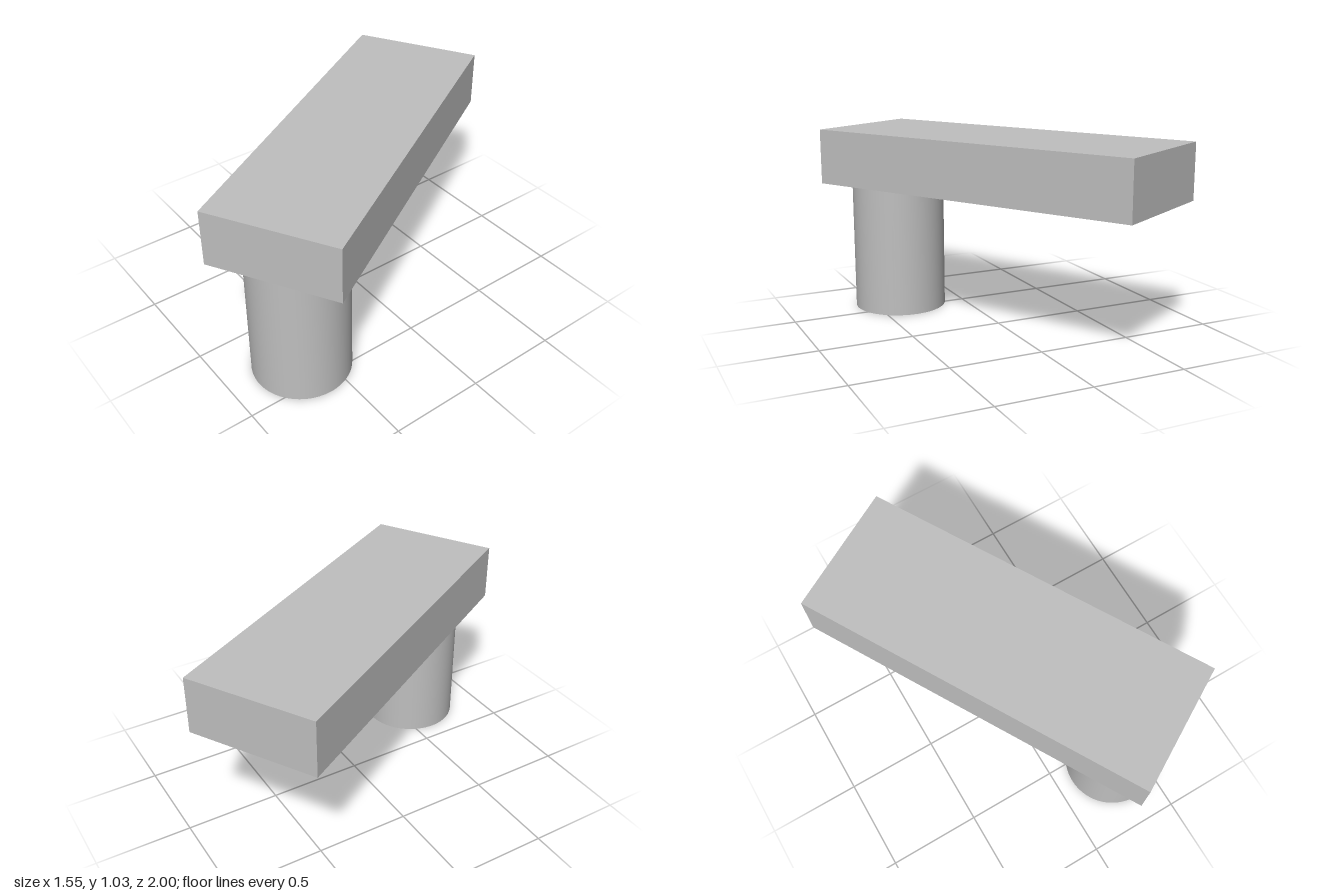
import * as THREE from 'three';

export function createModel() {
  const group = new THREE.Group();
  const grey = new THREE.MeshStandardMaterial({ color: 0xbfbfbf });
  grey.name = 'grey';

  const postHeight = 0.733;
  const beamHeight = 0.3;

  // Whole assembly is turned 30 degrees about the vertical axis
  group.rotation.y = Math.PI / 6;

  // Long rectangular beam on top
  const beam = new THREE.Mesh(new THREE.BoxGeometry(0.69, beamHeight, 1.909), grey);
  beam.name = 'beam';
  beam.position.y = postHeight + beamHeight / 2;
  group.add(beam);

  // Round post under the front end of the beam
  const post = new THREE.Mesh(new THREE.CylinderGeometry(0.258, 0.258, postHeight, 64), grey);
  post.name = 'post';
  post.position.set(0, postHeight / 2, 0.695);
  group.add(post);

  const model = new THREE.Group();
  model.name = 'beamOnPost';
  model.add(group);
  group.name = 'turnedAssembly';
  return model;
}
